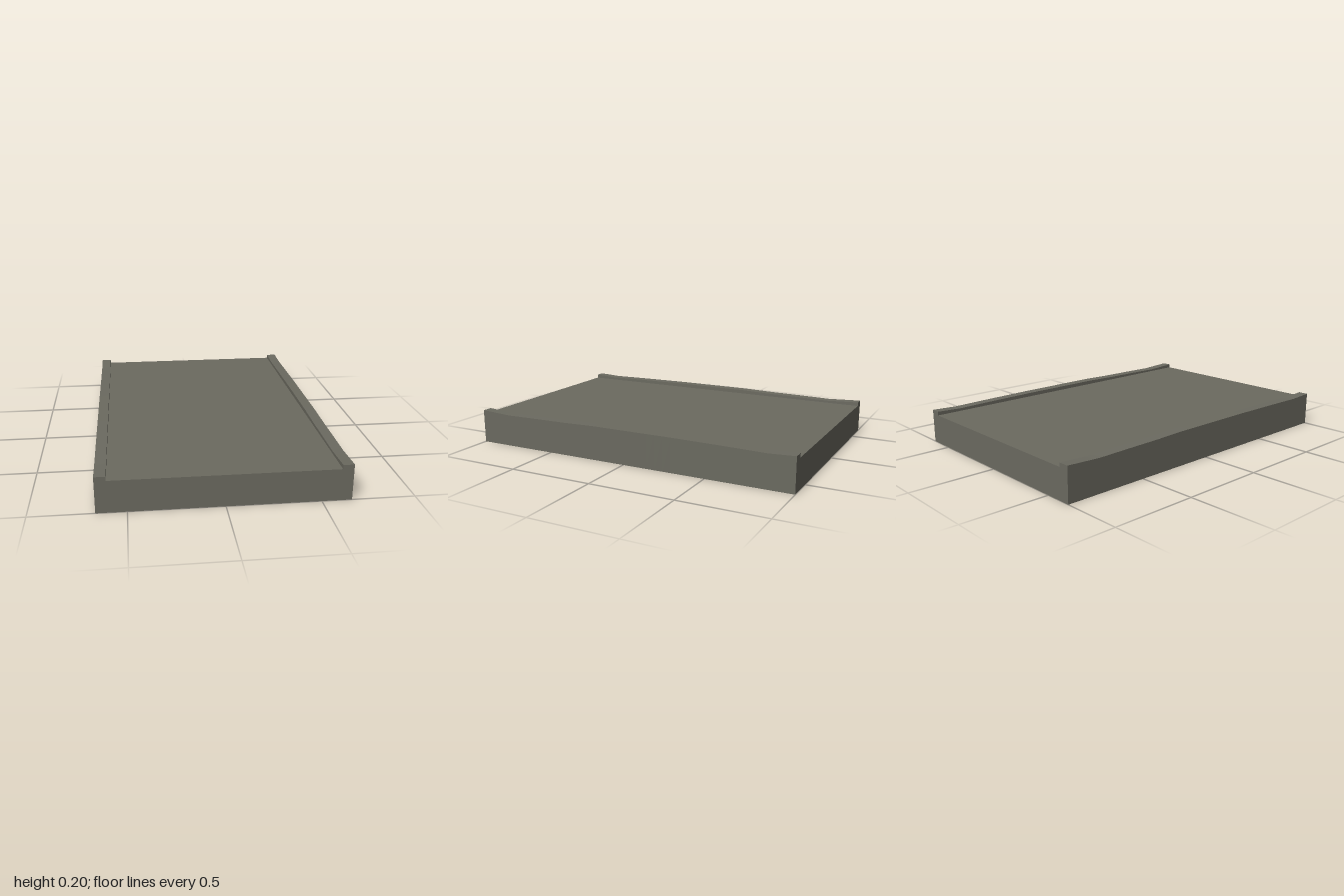
import * as THREE from 'three';

const WIDTH = 1.32, LENGTH = 2, CURB = 0.06, DECK_TOP = 0.177, CURB_TOP = 0.2;

// Box standing on y = 0, keeping only the listed faces (0 +x, 1 -x, 2 +y, 3 -y, 4 +z, 5 -z)
function openBox(w, h, d, depthSegments, faces) {
  const geo = new THREE.BoxGeometry(w, h, d, 1, 1, depthSegments).translate(0, h / 2, 0);
  const source = Array.from(geo.index.array);
  const kept = [];
  for (const f of faces) {
    const { start, count } = geo.groups[f];
    kept.push(...source.slice(start, start + count));
  }
  geo.setIndex(kept);
  geo.clearGroups();
  return geo;
}

// Worn height of the curb along its length: [z, y]
const wear = [
  [-1, 0.2], [-0.85, 0.193], [-0.6, 0.197], [-0.3, 0.2], [0.2, 0.2],
  [0.4, 0.195], [0.6, 0.193], [0.8, 0.19], [1, 0.2],
];
function curbHeight(z) {
  let i = 0;
  while (i < wear.length - 2 && z > wear[i + 1][0]) i++;
  const [z0, y0] = wear[i], [z1, y1] = wear[i + 1];
  return THREE.MathUtils.lerp(y0, y1, THREE.MathUtils.clamp((z - z0) / (z1 - z0), 0, 1));
}

export function createModel() {
  const model = new THREE.Group();
  model.name = 'bridgeDeck';
  const stone = new THREE.MeshStandardMaterial({ color: 0x6b6a60, side: THREE.DoubleSide });
  stone.name = 'grey stone';

  // Hollow deck: top and two end walls, open underneath
  const deck = new THREE.Mesh(openBox(WIDTH - 2 * CURB, DECK_TOP, LENGTH, 1, [2, 4, 5]), stone);
  deck.name = 'deck';
  model.add(deck);

  // Hollow curb with an uneven top
  const curbGeo = openBox(CURB, CURB_TOP, LENGTH, 40, [0, 1, 2, 4, 5]);
  const pos = curbGeo.attributes.position;
  for (let i = 0; i < pos.count; i++) {
    if (pos.getY(i) > 0.1) pos.setY(i, curbHeight(pos.getZ(i)));
  }
  curbGeo.computeVertexNormals();

  // The second curb is the first one turned half way round
  for (const side of [1, -1]) {
    const curb = new THREE.Mesh(curbGeo, stone);
    curb.name = side > 0 ? 'leftCurb' : 'rightCurb';
    curb.position.x = side * (WIDTH - CURB) / 2;
    if (side < 0) curb.rotation.y = Math.PI;
    model.add(curb);
  }
  return model;
}
